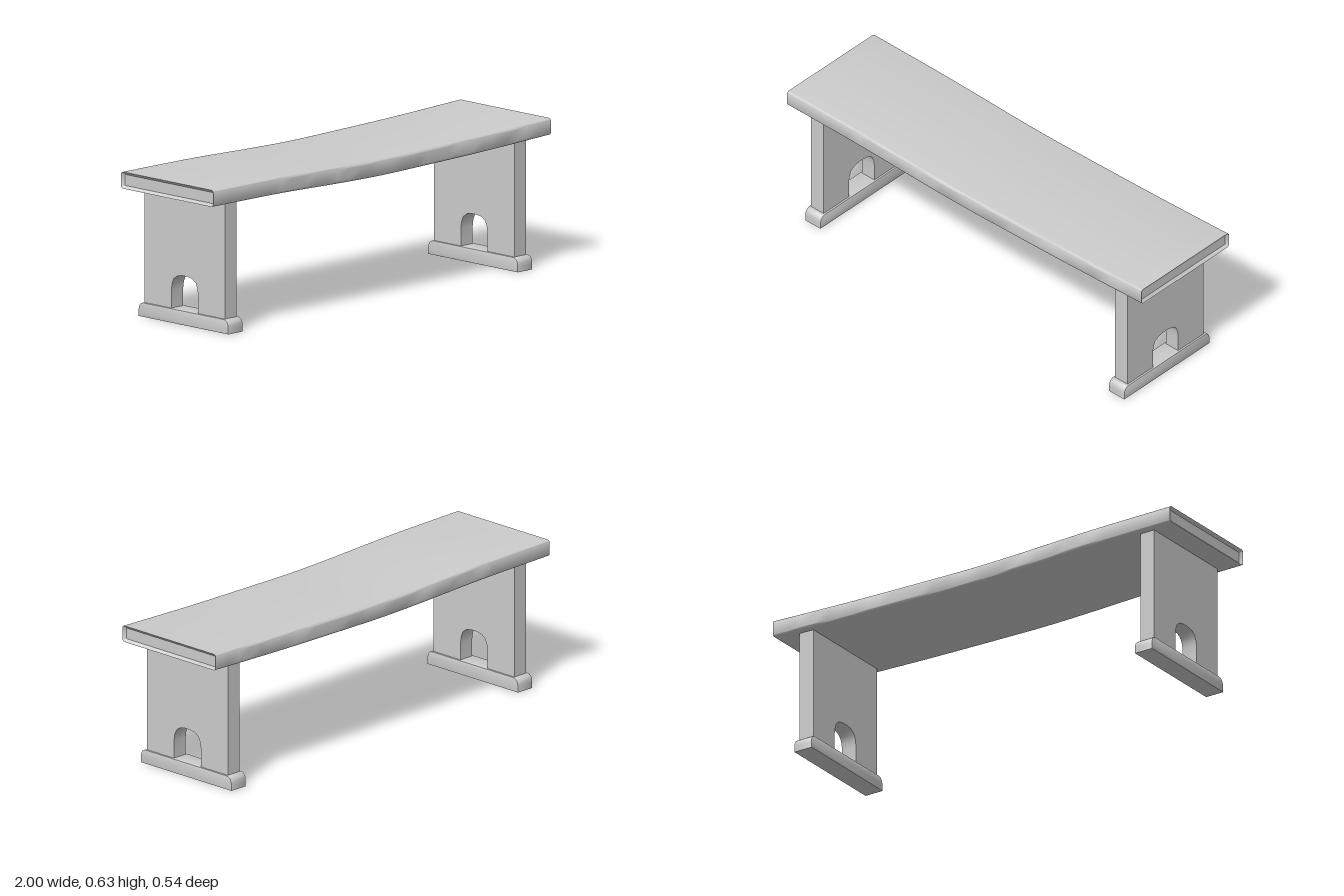
import * as THREE from 'three';
import { toCreasedNormals } from 'three/addons/utils/BufferGeometryUtils.js';

const material = new THREE.MeshStandardMaterial({ color: 0xcccccc, side: THREE.DoubleSide });

// Drop of the seat along its length: x, change in y
const sag = new THREE.SplineCurve([
  [-1, 0], [-0.6, -0.004], [-0.22, -0.016], [0, -0.02], [0.22, -0.018], [0.6, -0.012], [1, 0],
].map(([x, y]) => new THREE.Vector2(x, y)));

// Seat: a rounded rectangle swept along x, shrinking at both ends to round them
function seatGeometry() {
  const length = 2, height = 0.071, depth = 0.537, r = 0.012, steps = 4, spans = 30;
  const stations = [];
  const endAngle = (i) => (i / steps) * Math.PI / 2;
  for (let i = 0; i <= steps; i++) {
    const a = endAngle(i);
    stations.push([-length / 2 + r * (1 - Math.cos(a)), r * Math.sin(a)]);
  }
  // stations run from the left end through the spline to the right end
  for (let i = 0; i <= steps; i++) stations[i] = [-1 + r * (1 - Math.sin(endAngle(i))), r * Math.cos(endAngle(steps - i))];
  const inner = length / 2 - r;
  for (let i = 1; i < spans; i++) stations.push([-inner + 2 * inner * i / spans, r]);
  for (let i = steps; i >= 0; i--) stations.push([-stations[i][0], stations[i][1]]);

  const samples = sag.getPoints(120);
  const dropAt = (x) => {
    const k = Math.max(1, samples.findIndex((p) => p.x >= x));
    const a = samples[k - 1], b = samples[k];
    return a.y + (b.y - a.y) * (x - a.x) / (b.x - a.x);
  };

  const positions = [], index = [], n = 4 * (steps + 1);
  const midY = 0.627 - height / 2;
  for (const [x, radius] of stations) {
    for (let q = 0; q < 4; q++) {
      const sy = q === 0 || q === 3 ? 1 : -1, sz = q < 2 ? 1 : -1;
      for (let i = 0; i <= steps; i++) {
        const t = q * Math.PI / 2 + endAngle(i);
        positions.push(x,
          midY + dropAt(x) + sy * (height / 2 - r) + radius * Math.cos(t),
          sz * (depth / 2 - r) + radius * Math.sin(t));
      }
    }
  }
  const last = stations.length - 1;
  for (let s = 0; s < last; s++) {
    for (let j = 0; j < n; j++) {
      const a = s * n + j, b = s * n + (j + 1) % n;
      index.push(a, b, a + n, b, b + n, a + n);
    }
  }
  // flat end caps
  for (let j = 1; j < n - 1; j++) {
    index.push(0, j + 1, j, last * n, last * n + j, last * n + j + 1);
  }
  const geometry = new THREE.BufferGeometry();
  geometry.setAttribute('position', new THREE.Float32BufferAttribute(positions, 3));
  geometry.setIndex(index);
  return toCreasedNormals(geometry, 0.6);
}

// Extrudes a side profile to a given thickness, centred on x
function slab(shape, thickness, bevel = 0) {
  const geometry = new THREE.ExtrudeGeometry(shape, {
    depth: thickness - 2 * bevel, curveSegments: 8, bevelEnabled: bevel > 0,
    bevelThickness: bevel, bevelSize: bevel, bevelOffset: -bevel, bevelSegments: 2,
  });
  geometry.translate(0, 0, -thickness / 2 + bevel);
  geometry.rotateY(Math.PI / 2);
  return toCreasedNormals(geometry, 0.6);
}

// Leg board with an arched opening at the bottom
function legGeometry() {
  const arch = [[0.078, 0.06], [0.078, 0.135], [0.074, 0.163], [0.064, 0.187], [0.043, 0.202], [0.015, 0.207]];
  const mirrored = arch.map(([u, y]) => [-u, y]).reverse();
  const outline = [[0.233, 0.06], [0.233, 0.558], [-0.233, 0.558], [-0.233, 0.06],
    ...mirrored.slice().reverse(), ...arch.slice().reverse()];
  return slab(new THREE.Shape(outline.map(([u, y]) => new THREE.Vector2(u, y))), 0.07);
}

// Foot rail with rounded upper ends
function footGeometry() {
  const shape = new THREE.Shape();
  shape.moveTo(-0.261, 0);
  shape.lineTo(0.261, 0);
  shape.lineTo(0.261, 0.025);
  shape.bezierCurveTo(0.261, 0.045, 0.252, 0.06, 0.232, 0.06);
  shape.lineTo(-0.232, 0.06);
  shape.bezierCurveTo(-0.252, 0.06, -0.261, 0.045, -0.261, 0.025);
  return slab(shape, 0.087, 0.002);
}

export function createModel() {
  const bench = new THREE.Group();
  bench.name = 'bench';
  const add = (name, geometry, parent) => {
    const mesh = new THREE.Mesh(geometry, material);
    mesh.name = name;
    parent.add(mesh);
  };

  add('seat', seatGeometry(), bench);

  const leg = legGeometry(), foot = footGeometry();
  for (const [side, x] of [['left', 0.854], ['right', -0.861]]) {
    const support = new THREE.Group();
    support.name = side + 'Support';
    support.position.x = x;
    add(side + 'Leg', leg, support);
    add(side + 'Foot', foot, support);
    bench.add(support);
  }
  return bench;
}
